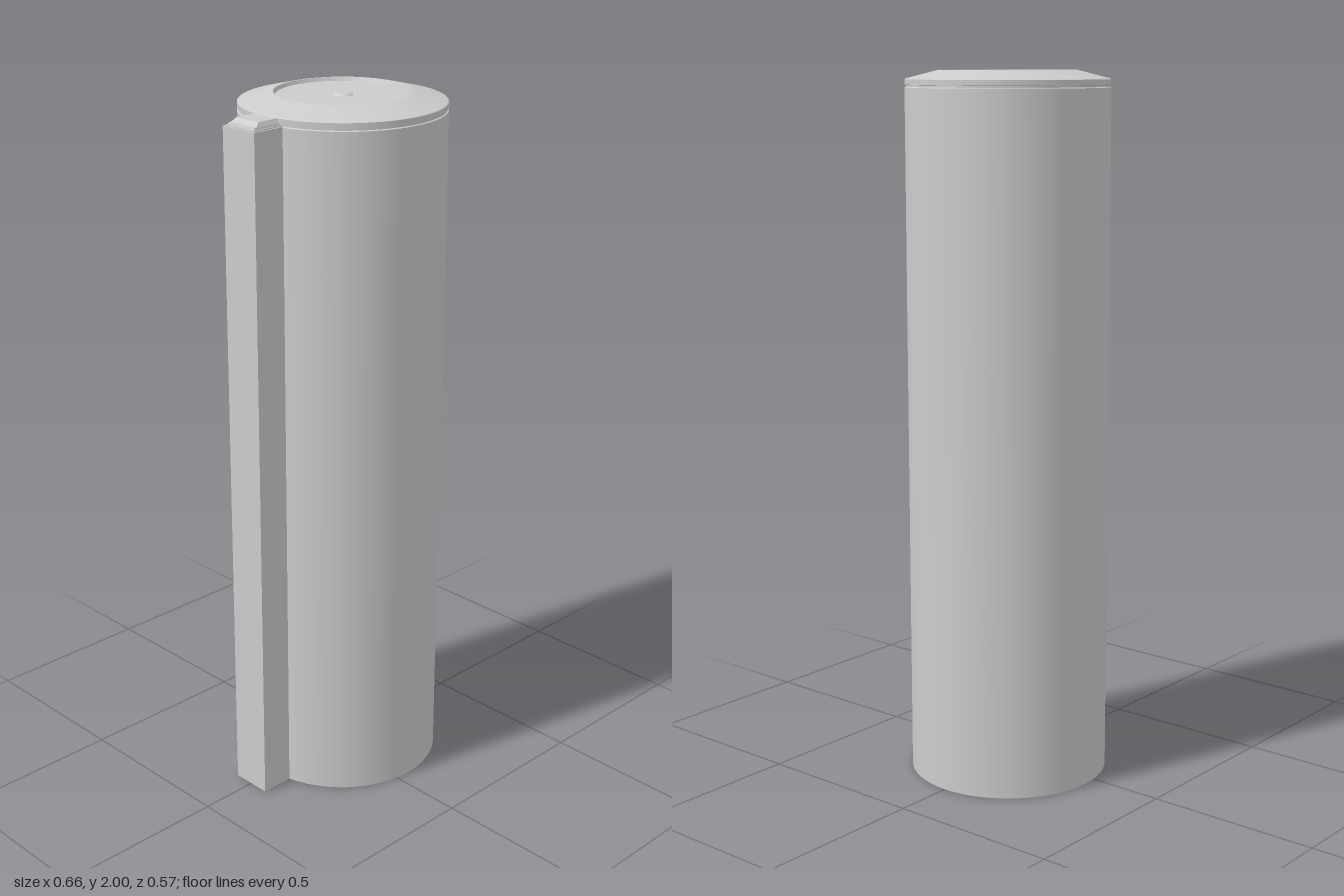
import * as THREE from 'three';
import { toCreasedNormals } from 'three/addons/utils/BufferGeometryUtils.js';

const CENTRE_X = 0.045; // axis of the round body
const material = new THREE.MeshStandardMaterial({ color: 0xcccccc });

function part(name, geometry, x = 0, y = 0, z = 0) {
  const mesh = new THREE.Mesh(toCreasedNormals(geometry, 0.2), material);
  mesh.name = name;
  mesh.position.set(x, y, z);
  return mesh;
}

// Revolved profile, given as [radius, height] from bottom to top
function turned(name, profile, segments = 96) {
  const points = profile.map(([r, y]) => new THREE.Vector2(r, y));
  return part(name, new THREE.LatheGeometry(points, segments), CENTRE_X);
}

// Block running from x0 to x1; its outer end and its sides can lean in towards the top
function block(name, x0, x1, halfZ, y0, y1, insetX = 0, insetZ = 0) {
  const geometry = new THREE.BoxGeometry(x1 - x0, y1 - y0, halfZ * 2);
  geometry.translate((x0 + x1) / 2, (y0 + y1) / 2, 0);
  const p = geometry.attributes.position;
  for (let i = 0; i < p.count; i++) {
    if (p.getY(i) < (y0 + y1) / 2) continue;
    if (p.getX(i) < (x0 + x1) / 2) p.setX(i, x0 + insetX);
    p.setZ(i, Math.sign(p.getZ(i)) * (halfZ - insetZ));
  }
  return part(name, geometry);
}

export function createModel() {
  const model = new THREE.Group();
  model.name = 'cylinderWithSideRail';

  // Round body with a shallow seam groove below the lid
  model.add(turned('body', [
    [0, 0], [0.283, 0], [0.283, 1.953], [0.279, 1.955], [0.279, 1.962], [0, 1.962],
  ]));

  // Lid: upright rim, sloping shoulder and sunken centre
  model.add(turned('lid', [
    [0.278, 1.96], [0.283, 1.961], [0.283, 1.975], [0.28, 1.977],
    [0.19, 2], [0.186, 2], [0.182, 1.99], [0, 1.99],
  ]));

  // Small raised button in the middle of the lid
  model.add(turned('button', [[0.028, 1.99], [0.024, 1.994], [0.018, 1.996], [0, 1.996]], 32));

  // Square rail along the side, full height of the body
  model.add(block('sideRail', -0.329, -0.2, 0.06, 0, 1.955));

  // Stepped cap on the rail, joined to the lid
  const cap = new THREE.Group();
  cap.name = 'railCap';
  cap.add(block('capSeam', -0.324, -0.22, 0.055, 1.955, 1.958));
  cap.add(block('capBase', -0.32, -0.22, 0.051, 1.958, 1.964, 0.002, 0.002));
  cap.add(block('capTop', -0.31, -0.22, 0.048, 1.964, 1.975, 0.012, 0.006));
  model.add(cap);

  return model;
}
